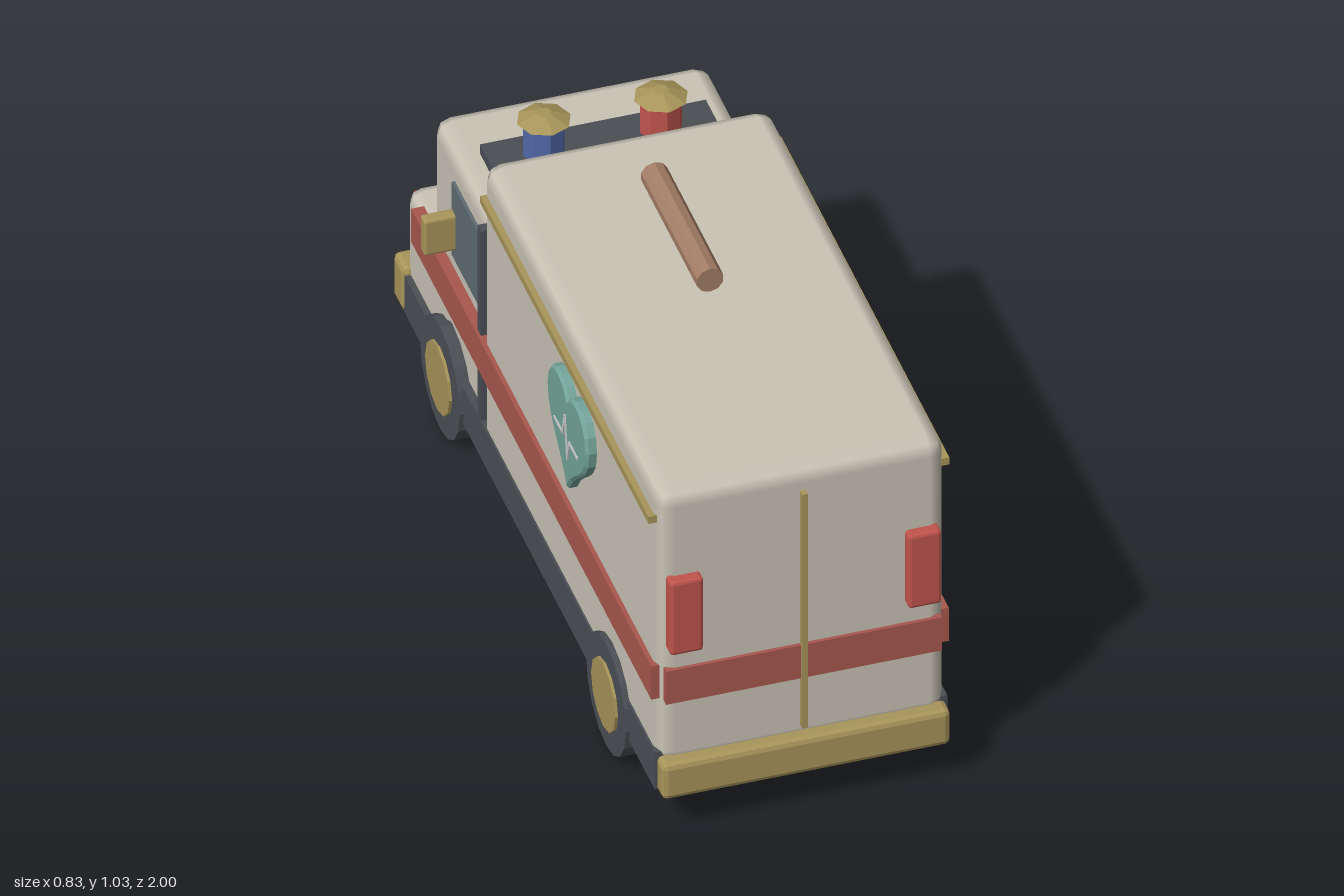
import * as THREE from 'three';
import { RoundedBoxGeometry } from 'three/addons/geometries/RoundedBoxGeometry.js';

const mat = (color, flatShading = false) => new THREE.MeshStandardMaterial({ color, flatShading });
const paint = mat(0xcac4b6);
const dark = mat(0x4b4f54, true);
const gold = mat(0xa8955a, true);
const stripe = mat(0xa8584d);
const lampRed = mat(0xc0544c, true);
const lampBlue = mat(0x5068a8, true);
const teal = mat(0x74a59a);
const glass = mat(0x5f6c73);
const wood = mat(0xa57e66, true);
const pale = mat(0xcccccc);

export function createModel() {
  const model = new THREE.Group();
  model.name = 'ambulance';

  const add = (name, geometry, material, x = 0, y = 0, z = 0, parent = model) => {
    const mesh = new THREE.Mesh(geometry, material);
    mesh.name = name;
    mesh.position.set(x, y, z);
    parent.add(mesh);
    return mesh;
  };
  // Box given by its [min, max] extents; a radius rounds the edges
  const box = (name, material, [x0, x1], [y0, y1], [z0, z1], radius = 0) => {
    const size = [x1 - x0, y1 - y0, z1 - z0];
    const geometry = radius
      ? new RoundedBoxGeometry(...size, 1, radius)
      : new THREE.BoxGeometry(...size);
    return add(name, geometry, material, (x0 + x1) / 2, (y0 + y1) / 2, (z0 + z1) / 2);
  };
  // Same box on the left and right sides
  const pair = (name, material, [x0, x1], y, z, radius) => {
    box(name + 'Left', material, [x0, x1], y, z, radius);
    box(name + 'Right', material, [-x1, -x0], y, z, radius);
  };

  // Body shells: cargo box, cab and hood on a flat chassis
  box('chassis', dark, [-0.35, 0.35], [0.115, 0.22], [-0.93, 0.955]);
  box('cargoBox', paint, [-0.345, 0.345], [0.18, 0.965], [-0.345, 0.968], 0.04);
  box('cab', paint, [-0.33, 0.33], [0.18, 0.785], [-0.765, -0.3], 0.04);
  box('hood', paint, [-0.335, 0.335], [0.18, 0.447], [-0.945, -0.6], 0.035);
  pair('cabSeam', dark, [0.32, 0.349], [0.2, 0.765], [-0.365, -0.338]);

  // Bumpers
  box('rearBumper', gold, [-0.345, 0.345], [0.11, 0.21], [0.945, 1], 0.014);
  box('frontBumper', gold, [-0.355, 0.355], [0.115, 0.24], [-0.975, -0.9], 0.014);

  // Red stripes
  pair('sideStripe', stripe, [0.325, 0.356], [0.37, 0.465], [-0.835, 0.948]);
  box('rearStripe', stripe, [-0.33, 0.33], [0.37, 0.465], [0.95, 0.977]);
  box('frontStripe', stripe, [-0.31, 0.31], [0.35, 0.415], [-0.957, -0.93]);

  // Trim, rear doors and tail lights
  pair('roofTrim', gold, [0.335, 0.36], [0.872, 0.892], [-0.31, 0.94]);
  box('rearDoorSeam', gold, [-0.007, 0.007], [0.23, 0.905], [0.95, 0.985]);
  pair('tailLight', lampRed, [0.245, 0.325], [0.52, 0.73], [0.955, 0.995], 0.008);

  // Grille, side windows and mirrors
  box('grille', dark, [-0.24, 0.24], [0.245, 0.345], [-0.957, -0.93]);
  pair('sideWindow', glass, [0.31, 0.338], [0.51, 0.72], [-0.59, -0.385]);
  pair('mirror', gold, [0.325, 0.413], [0.543, 0.643], [-0.592, -0.56], 0.006);

  // Headlights: narrow mount, wide rim, lens
  const lens = mat(0xb5a67c, true);
  for (const s of [-1, 1]) {
    const headlight = new THREE.Group();
    headlight.name = s > 0 ? 'headlightLeft' : 'headlightRight';
    headlight.position.set(s * 0.245, 0.31, 0);
    model.add(headlight);
    add('housing', new THREE.CylinderGeometry(0.042, 0.042, 0.06, 8), gold, 0, 0, -0.965, headlight).rotation.x = Math.PI / 2;
    add('rim', new THREE.CylinderGeometry(0.053, 0.053, 0.03, 8), gold, 0, 0, -0.975, headlight).rotation.x = Math.PI / 2;
    add('lens', new THREE.CylinderGeometry(0.04, 0.04, 0.012, 8), lens, 0, 0, -0.994, headlight).rotation.x = Math.PI / 2;
  }

  // Wheels with gold hubs
  for (const s of [-1, 1]) {
    for (const z of [0.625, -0.608]) {
      const wheel = new THREE.Group();
      wheel.name = (z > 0 ? 'rearWheel' : 'frontWheel') + (s > 0 ? 'Left' : 'Right');
      wheel.position.set(s * 0.305, 0.147, z);
      wheel.rotation.z = -s * Math.PI / 2;
      model.add(wheel);
      add('tyre', new THREE.CylinderGeometry(0.147, 0.147, 0.11, 16), dark, 0, 0, 0, wheel);
      add('hub', new THREE.CylinderGeometry(0.09, 0.09, 0.03, 12), gold, 0, 0.047, 0, wheel);
    }
  }

  // Beacon bar on the cab roof
  box('beaconBar', dark, [-0.27, 0.27], [0.77, 0.812], [-0.59, -0.455]);
  for (const s of [-1, 1]) {
    const beacon = new THREE.Group();
    beacon.name = s > 0 ? 'beaconLeft' : 'beaconRight';
    beacon.position.set(s * 0.14, 0, -0.52);
    model.add(beacon);
    add('lamp', new THREE.CylinderGeometry(0.05, 0.05, 0.1, 8), s > 0 ? lampRed : lampBlue, 0, 0.858, 0, beacon);
    add('cap', new THREE.CylinderGeometry(0.018, 0.064, 0.02, 8), gold, 0, 0.915, 0, beacon);
  }

  // Roll on the cargo roof
  add('roofRoll', new THREE.CylinderGeometry(0.033, 0.033, 0.415, 10), wood, 0, 1, 0.0725).rotation.x = Math.PI / 2;

  // Heart emblem with a pulse line on each side
  const heart = new THREE.Shape();
  heart.moveTo(0, -0.14);
  heart.bezierCurveTo(-0.035, -0.065, -0.14, -0.04, -0.14, 0.055);
  heart.bezierCurveTo(-0.14, 0.14, -0.04, 0.16, 0, 0.095);
  heart.bezierCurveTo(0.04, 0.16, 0.14, 0.14, 0.14, 0.055);
  heart.bezierCurveTo(0.14, -0.04, 0.035, -0.065, 0, -0.14);
  const heartGeometry = new THREE.ExtrudeGeometry(heart, {
    depth: 0.022, curveSegments: 6, bevelSize: 0.007, bevelThickness: 0.007, bevelSegments: 1,
  });
  const pulse = [[-0.085, -0.005], [-0.025, -0.005], [-0.008, 0.055], [0.01, -0.055], [0.025, 0], [0.085, 0]];
  for (const s of [-1, 1]) {
    const emblem = new THREE.Group();
    emblem.name = s > 0 ? 'heartLeft' : 'heartRight';
    emblem.position.set(s * 0.342, 0.7, 0.365);
    emblem.rotation.y = s * Math.PI / 2;
    model.add(emblem);
    add('heart', heartGeometry, teal, 0, 0, 0, emblem);
    for (let i = 1; i < pulse.length; i++) {
      const [ax, ay] = pulse[i - 1], [bx, by] = pulse[i];
      const length = Math.hypot(bx - ax, by - ay) + 0.004;
      add('pulseLine', new THREE.BoxGeometry(length, 0.007, 0.006), pale, (ax + bx) / 2, (ay + by) / 2, 0.029, emblem)
        .rotation.z = Math.atan2(by - ay, bx - ax);
    }
  }
  return model;
}
